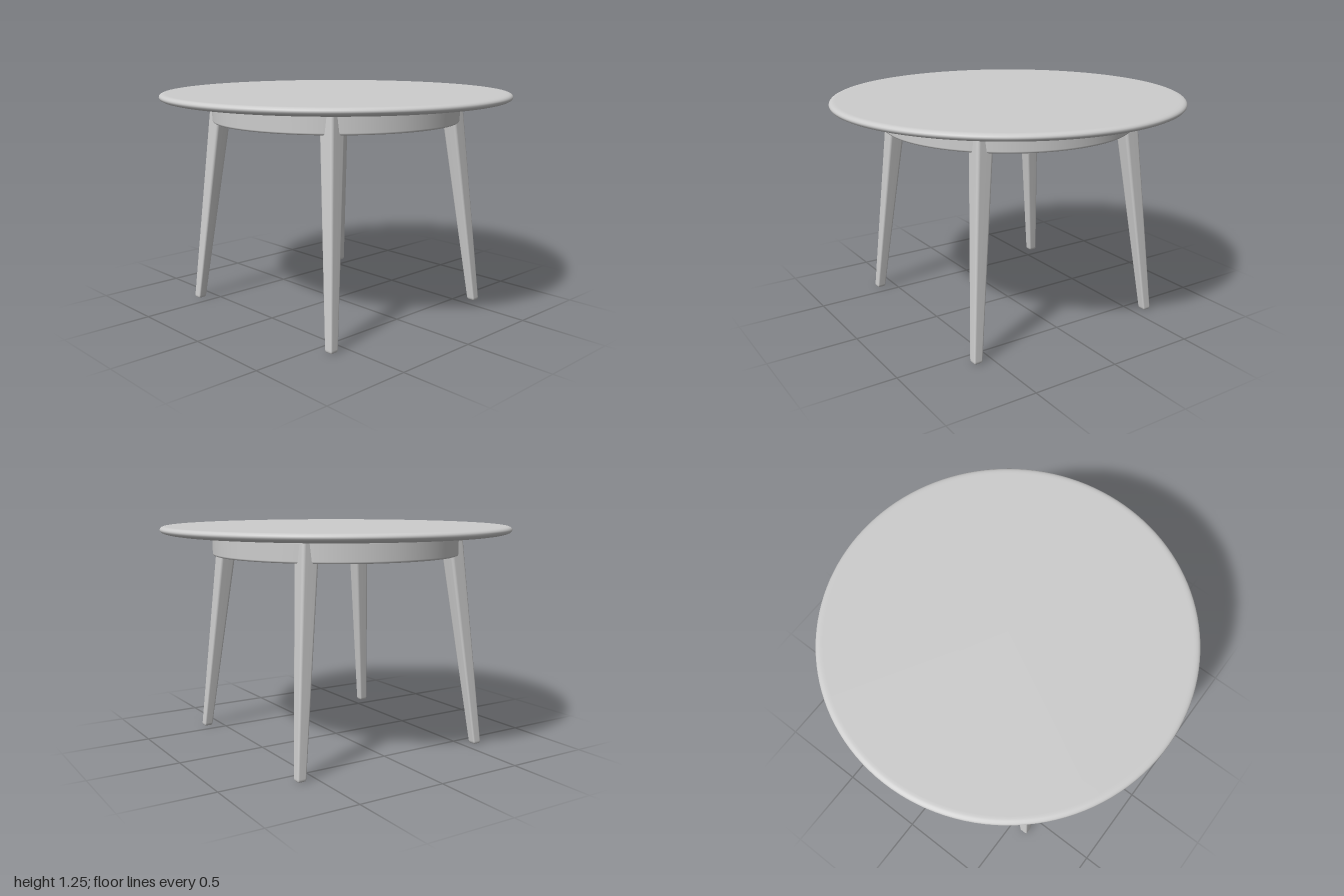
import * as THREE from 'three';
import { mergeVertices } from 'three/addons/utils/BufferGeometryUtils.js';
import { RoundedBoxGeometry } from 'three/addons/geometries/RoundedBoxGeometry.js';

const grey = new THREE.MeshStandardMaterial({ color: 0xcccccc });
grey.name = 'plain grey';

// Lathe a list of [radius, height] points
function lathe(name, points, smoothPoints) {
  let profile = points.map(([r, y]) => new THREE.Vector2(r, y));
  if (smoothPoints) profile = smoothPoints(profile);
  const mesh = new THREE.Mesh(new THREE.LatheGeometry(profile, 128), grey);
  mesh.name = name;
  return mesh;
}

// Square, soft-edged leg that narrows and splays out along the diagonal
function legGeometry() {
  const height = 1.225;
  const geo = new RoundedBoxGeometry(0.1, height, 0.1, 3, 0.018);
  geo.translate(0, height / 2, 0);
  const pos = geo.attributes.position;
  for (let i = 0; i < pos.count; i++) {
    const y = pos.getY(i);
    const t = y / 1.205;
    const scale = THREE.MathUtils.lerp(0.51, 1, t);
    const centre = THREE.MathUtils.lerp(0.587, 0.469, t);
    pos.setXYZ(i, pos.getX(i) * scale + centre, y, pos.getZ(i) * scale + centre);
  }
  // Weld, then recompute smooth normals on the tapered shape
  geo.deleteAttribute('uv');
  geo.deleteAttribute('normal');
  geo.clearGroups();
  const welded = mergeVertices(geo, 1e-5);
  welded.computeVertexNormals();
  return welded;
}

export function createModel() {
  const table = new THREE.Group();
  table.name = 'roundTable';

  // Tabletop: flat faces, rounded rim, long soft bevel underneath
  table.add(lathe('tabletop', [
    [0, 1.205], [0.88, 1.205], [0.9, 1.2052], [0.93, 1.2075], [0.96, 1.212], [0.98, 1.217],
    [0.992, 1.2225], [0.998, 1.229], [1, 1.236], [0.998, 1.243], [0.992, 1.249],
    [0.983, 1.253], [0.972, 1.2548], [0.96, 1.255], [0, 1.255],
  ]));

  // Apron ring: closed band with softened lower edges
  table.add(lathe('apronRing', [
    [0.675, 1.21], [0.675, 1.101], [0.675, 1.098], [0.677, 1.093], [0.682, 1.09], [0.685, 1.09],
    [0.7, 1.09], [0.703, 1.09], [0.708, 1.093], [0.71, 1.098], [0.71, 1.101],
    [0.71, 1.19], [0.71, 1.194], [0.708, 1.199], [0.703, 1.203], [0.695, 1.21],
  ]));

  // Four legs
  const geo = legGeometry();
  ['frontLeftLeg', 'backLeftLeg', 'backRightLeg', 'frontRightLeg'].forEach((name, i) => {
    const leg = new THREE.Mesh(geo, grey);
    leg.name = name;
    leg.rotation.y = i * Math.PI / 2;
    table.add(leg);
  });

  return table;
}
